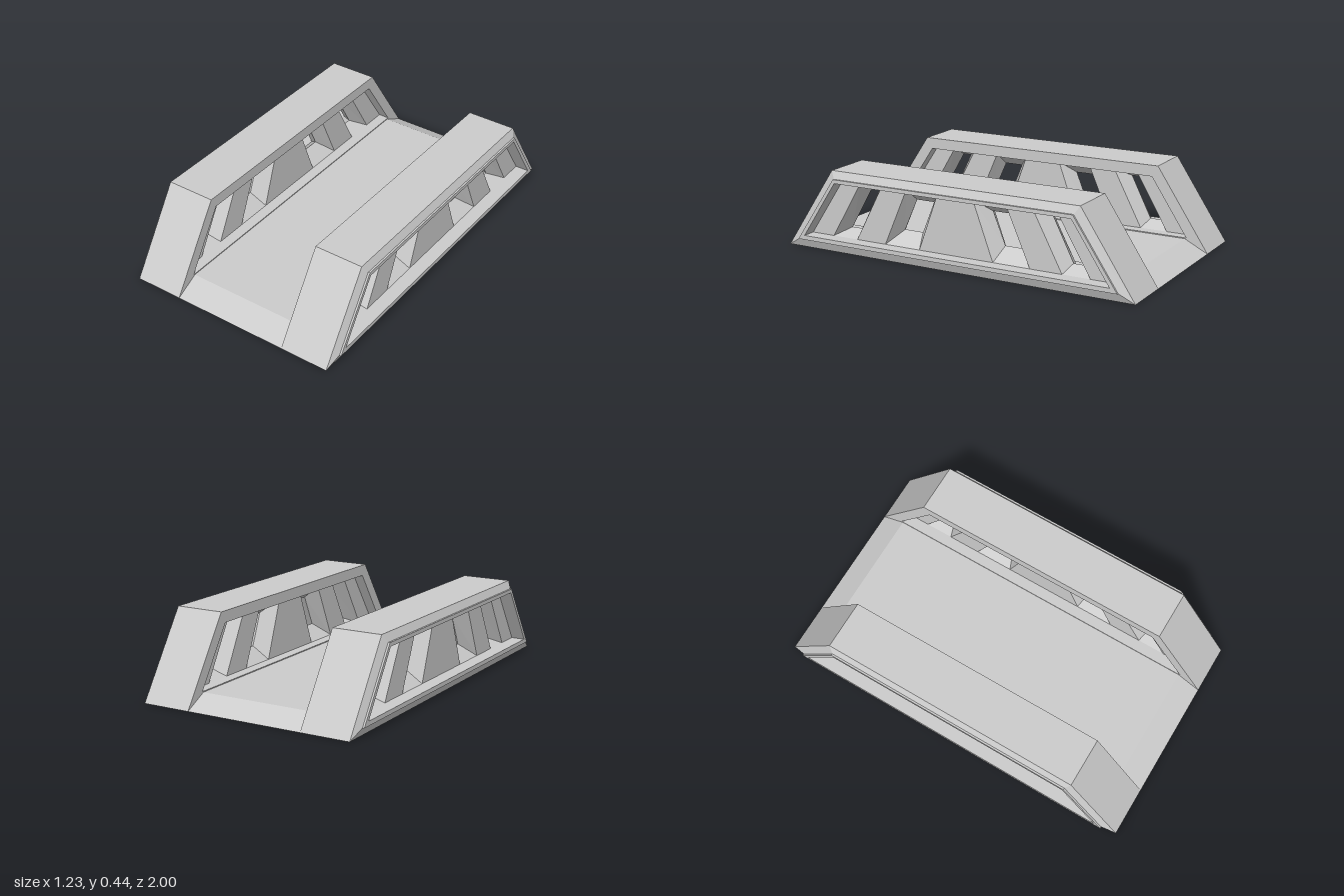
import * as THREE from 'three';

const material = new THREE.MeshStandardMaterial({ color: 0xcccccc, flatShading: true });

// Four-corner outline in (z, y): bottom front, bottom back, top back, top front
const outline = (zb0, zb1, zt1, zt0, y0, y1) => [[zb0, y0], [zb1, y0], [zt1, y1], [zt0, y1]];
const trapezoid = (zb, zt, y0, y1) => outline(zb, -zb, -zt, zt, y0, y1);
const mirrorZ = (o) => [1, 0, 3, 2].map((i) => [-o[i][0], o[i][1]]);
const at = (o, x) => o.map(([z, y]) => [x, y, z]);

function meshFromQuads(name, quads) {
  const pos = [];
  for (const [a, b, c, d] of quads) pos.push(...a, ...b, ...c, ...a, ...c, ...d);
  const geometry = new THREE.BufferGeometry();
  geometry.setAttribute('position', new THREE.Float32BufferAttribute(pos, 3));
  geometry.computeVertexNormals();
  const mesh = new THREE.Mesh(geometry, material);
  mesh.name = name;
  return mesh;
}

// Quads joining successive outlines, each given as [outline, x]
function loft(sections) {
  const quads = [];
  for (let s = 0; s < sections.length - 1; s++) {
    const p = at(...sections[s]);
    const q = at(...sections[s + 1]);
    for (let i = 0; i < 4; i++) {
      const j = (i + 1) % 4;
      quads.push([p[i], p[j], q[j], q[i]]);
    }
  }
  return quads;
}

function createSideWall(name) {
  const wall = new THREE.Group();
  wall.name = name;
  const outer = trapezoid(1, 0.71, 0, 0.435);
  const frame = trapezoid(0.92, 0.685, 0.047, 0.395);
  const recess = trapezoid(0.88, 0.677, 0.07, 0.375);
  const xIn = 0.38, xMid = 0.46, xOut = 0.54;

  // Casing: inner recess, rim, body, chamfer, raised frame, outer recess
  wall.add(meshFromQuads('casing', loft([
    [recess, xIn], [recess, 0.32], [outer, 0.32], [outer, 0.585],
    [frame, 0.605], [frame, 0.615], [recess, 0.615], [recess, xOut],
  ])));

  // Slanted slots, each narrowing to a hole in the middle of the wall
  const half = [
    { mouth: outline(0.745, 0.595, 0.434, 0.565, 0.07, 0.375),
      hole: outline(0.68, 0.617, 0.504, 0.552, 0.107, 0.33) },
    { mouth: outline(0.42, 0.214, 0.102, 0.286, 0.07, 0.375),
      hole: outline(0.349, 0.241, 0.172, 0.273, 0.14, 0.308) },
  ];
  const slots = [...half, ...half.slice().reverse().map((s) => (
    { mouth: mirrorZ(s.mouth), hole: mirrorZ(s.hole) }))];
  slots.forEach(({ mouth, hole }, i) => wall.add(meshFromQuads(`slot${i + 1}`,
    loft([[mouth, xOut], [hole, xMid], [mouth, xIn]]))));

  // Panel strips between the slots, on both faces
  const strips = [];
  for (let i = 0; i <= slots.length; i++) {
    const before = i ? slots[i - 1].mouth : mirrorZ(recess);
    const a = i ? [before[1], before[2]] : [recess[0], recess[3]];
    const b = i < slots.length ? [slots[i].mouth[0], slots[i].mouth[3]] : [recess[1], recess[2]];
    const strip = [a[0], b[0], b[1], a[1]];
    strips.push(at(strip, xOut), at(strip, xIn).reverse());
  }
  wall.add(meshFromQuads('panel', strips));
  return wall;
}

export function createModel() {
  const model = new THREE.Group();
  model.name = 'slottedChannel';

  // Floor with sloping ends
  const floor = trapezoid(1, 0.872, 0, 0.065);
  model.add(meshFromQuads('floor', loft([[floor, -0.32], [floor, 0.32]])));

  // The two walls are half-turns of each other
  const right = createSideWall('rightWall');
  right.rotation.y = Math.PI;
  model.add(createSideWall('leftWall'), right);
  return model;
}
